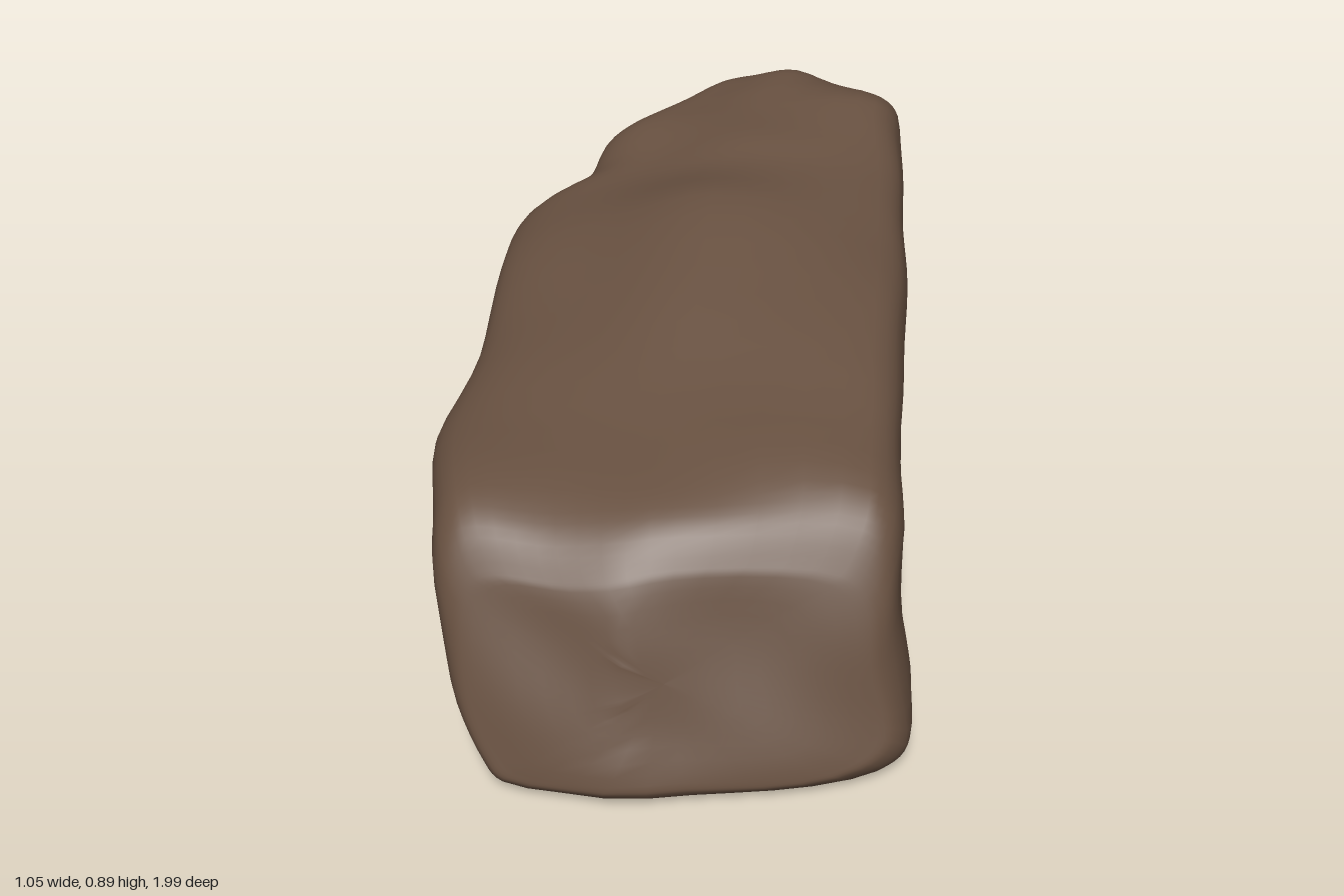
import * as THREE from 'three';

// Cross-sections from front to back:
// z bottom, z top, left x (bottom, middle, top), right x (bottom, top), y bottom, y top (left, middle, right)
const SECTIONS = [
  [0.99, 0.82, -0.36, -0.41, -0.42, 0.49, 0.44, 0.05, 0.43, 0.50, 0.48],
  [0.94, 0.76, -0.36, -0.44, -0.46, 0.52, 0.47, 0.01, 0.50, 0.56, 0.55],
  [0.70, 0.66, -0.35, -0.44, -0.49, 0.52, 0.48, 0.01, 0.54, 0.60, 0.60],
  [0.40, 0.40, -0.34, -0.43, -0.52, 0.51, 0.48, 0.01, 0.55, 0.66, 0.65],
  [0.10, 0.10, -0.33, -0.43, -0.47, 0.50, 0.49, 0.02, 0.59, 0.75, 0.72],
  [-0.23, -0.23, -0.29, -0.42, -0.47, 0.50, 0.49, 0.02, 0.65, 0.83, 0.76],
  [-0.43, -0.43, -0.14, -0.34, -0.43, 0.49, 0.49, 0.03, 0.67, 0.82, 0.79],
  [-0.54, -0.55, -0.04, -0.24, -0.30, 0.48, 0.49, 0.04, 0.71, 0.85, 0.82],
  [-0.65, -0.67, 0.05, -0.15, -0.26, 0.47, 0.49, 0.05, 0.74, 0.87, 0.85],
  [-0.70, -0.73, 0.04, -0.11, -0.21, 0.47, 0.49, 0.19, 0.76, 0.88, 0.86],
  [-0.78, -0.80, 0.03, -0.06, -0.13, 0.47, 0.48, 0.27, 0.78, 0.89, 0.85],
  [-0.88, -0.89, 0.07, 0.01, -0.03, 0.42, 0.43, 0.32, 0.79, 0.89, 0.81],
  [-0.95, -0.96, 0.10, 0.06, 0.06, 0.36, 0.37, 0.42, 0.76, 0.83, 0.76],
];

// Closed outline of one section, counter-clockwise seen from the front
function makeRing([zb, zt, lb, lm, lt, rb, rt, yb, yl, ym, yr]) {
  const mid = (a, b, t) => a + (b - a) * t;
  const crest = mid(lt, rt, 0.53);
  const bevel = 0.06 + 0.08 * THREE.MathUtils.smoothstep(-zb, 0.3, 0.65);
  const outline = [
    [lb, yb + 0.04], [lb + 0.04, yb], [mid(lb, rb, 0.5), yb], [rb - bevel, yb + 0.01], [rb, yb + bevel],
    [mid(rb, rt, 0.7), mid(yb, yr, 0.55)], [rt, yr - 0.06], [rt - 0.06, yr],
    [crest, ym], [mid(lt, crest, 0.5), mid(yl, ym, 0.62)], [lt + 0.05, yl + 0.03],
    [lt, yl - 0.03], [lm, mid(yb, yl, 0.42)],
  ].map(([x, y]) => new THREE.Vector3(x, y, mid(zb, zt, (y - yb) / (Math.max(yl, ym, yr) - yb))));
  const curve = new THREE.CatmullRomCurve3(outline, true, 'centripetal');
  return curve.getPoints(outline.length * 5).slice(0, -1);
}

// Ring pulled towards its centre, to close an end
function shrink(ring, scale, push) {
  const c = ring.reduce((s, p) => s.add(p), new THREE.Vector3()).divideScalar(ring.length);
  return ring.map((p) => p.clone().sub(c).multiplyScalar(scale).add(c).add(new THREE.Vector3(0, 0, push)));
}

// Slanted front and uneven weathered surface, flat on the ground
function weather(p) {
  const { x, y, z } = p;
  const front = THREE.MathUtils.smoothstep(z, 0.5, 1);
  const back = THREE.MathUtils.smoothstep(-z, 0.3, 0.8);
  p.z += front * (x > -0.07 ? -0.2 * (x + 0.07) : 0.16 * (x + 0.07));
  const rough = 0.004 + 0.006 * back;
  p.x += rough * (Math.sin(9 * z + 5 * y) + 0.6 * Math.sin(17 * y - 13 * z + 1));
  p.y += rough * 0.8 * (Math.sin(10 * x + 7 * z + 2) + 0.6 * Math.sin(19 * z - 11 * x));
  p.z += rough * (Math.sin(11 * x - 9 * y) + 0.7 * Math.sin(18 * y + 15 * x + 2));
  p.y = Math.max(p.y, 0);
  return p;
}

export function createModel() {
  const rings = SECTIONS.map(makeRing);
  const first = rings[0], last = rings[rings.length - 1];
  const all = [
    shrink(first, 0, 0.01), shrink(first, 0.45, 0.01), shrink(first, 0.9, 0.008),
    ...rings,
    shrink(last, 0.75, -0.025), shrink(last, 0.4, -0.035), shrink(last, 0, -0.035),
  ];

  // Smooth lengthwise lines through the sections
  const n = first.length, steps = (all.length - 1) * 4;
  const points = [];
  const lines = first.map((_, j) =>
    new THREE.CatmullRomCurve3(all.map((r) => r[j]), false, 'centripetal').getPoints(steps));
  for (let i = 0; i <= steps; i++) for (let j = 0; j < n; j++) points.push(weather(lines[j][i]));

  const index = [];
  for (let i = 0; i < steps; i++) {
    for (let j = 0; j < n; j++) {
      const k = (j + 1) % n;
      const a = i * n + j, b = i * n + k, c = a + n, d = b + n;
      if (i === 0) index.push(a, c, d);
      else if (i === steps - 1) index.push(a, c, b);
      else index.push(a, c, b, b, c, d);
    }
  }

  const geometry = new THREE.BufferGeometry().setFromPoints(points);
  geometry.setIndex(index);
  geometry.computeVertexNormals();

  const brown = new THREE.MeshStandardMaterial({ color: 0x675040 });
  brown.name = 'brown stone';
  const rock = new THREE.Mesh(geometry, brown);
  rock.name = 'rock';
  const group = new THREE.Group();
  group.name = 'boulder';
  group.add(rock);
  return group;
}
